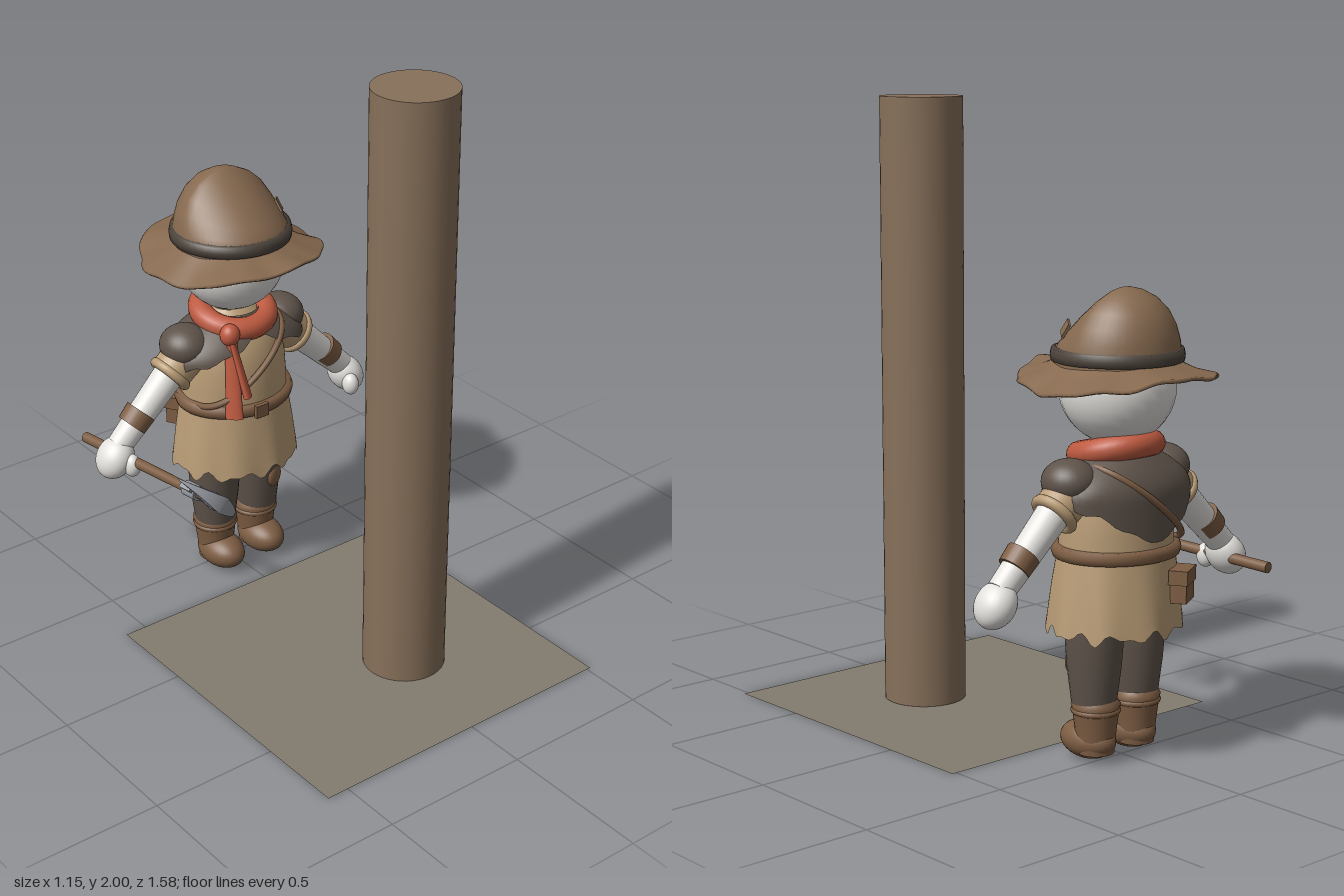
import * as THREE from 'three';
import { mergeVertices } from 'three/addons/utils/BufferGeometryUtils.js';

const mat = (name, color, side = THREE.FrontSide) => {
  const m = new THREE.MeshStandardMaterial({ color, side });
  m.name = name;
  return m;
};

export function createModel() {
  const ground = mat('ground grey', 0x837b6f, THREE.DoubleSide);
  const wood = mat('post wood', 0x87705a);
  const felt = mat('hat felt', 0x86694f, THREE.DoubleSide);
  const bandCloth = mat('hat band', 0x4c433b);
  const dark = mat('dark cloth', 0x5e534a, THREE.DoubleSide);
  const tan = mat('tan cloth', 0xb99c76, THREE.DoubleSide);
  const red = mat('scarf red', 0xbd5a40);
  const white = mat('plain white', 0xe2e0dc);
  const leather = mat('leather brown', 0x7d5d43);
  const metal = mat('steel', 0x989ba3);

  const root = new THREE.Group();
  const figure = new THREE.Group();
  figure.name = 'figure';
  figure.position.set(0.02, 0, -0.49);

  const V = (x, y, z) => new THREE.Vector3(x, y, z);
  const add = (parent, name, geo, material, x = 0, y = 0, z = 0) => {
    const m = new THREE.Mesh(geo, material);
    m.name = name;
    m.position.set(x, y, z);
    parent.add(m);
    return m;
  };
  // move every vertex by a rule, then smooth the result
  const deform = (geo, rule) => {
    geo.deleteAttribute('uv');
    geo.deleteAttribute('normal');
    const p = geo.attributes.position, v = V(0, 0, 0);
    for (let i = 0; i < p.count; i++) {
      rule(v.fromBufferAttribute(p, i));
      p.setXYZ(i, v.x, v.y, v.z);
    }
    const out = mergeVertices(geo, 1e-5);
    out.computeVertexNormals();
    return out;
  };
  const lathe = (pts, seg = 48) =>
    new THREE.LatheGeometry(pts.map(([r, y]) => new THREE.Vector2(r, y)), seg);
  const ball = (parent, name, material, x, y, z, sx, sy, sz) => {
    const m = add(parent, name, new THREE.SphereGeometry(1, 28, 20), material, x, y, z);
    m.scale.set(sx, sy, sz);
    return m;
  };
  const limb = (parent, name, material, a, b, ra, rb) => {
    const d = b.clone().sub(a);
    const m = add(parent, name, new THREE.CylinderGeometry(rb, ra, d.length(), 24), material);
    m.position.copy(a).addScaledVector(d, 0.5);
    m.quaternion.setFromUnitVectors(V(0, 1, 0), d.normalize());
    return m;
  };

  // ground and post
  add(root, 'ground', new THREE.PlaneGeometry(1.09, 1.09).rotateX(-Math.PI / 2), ground, -0.03, 0.001, 0.245);
  add(root, 'post', new THREE.CylinderGeometry(0.135, 0.135, 1.997, 40), wood, 0.07, 1.0015, 0.37);
  root.add(figure);

  // tunic body, and skirt with a ragged hem
  const depth = 0.88;
  add(figure, 'tunicBody', lathe([[0.188, 0.64], [0.187, 0.72], [0.182, 0.8], [0.17, 0.86],
    [0.145, 0.91], [0.11, 0.95], [0.07, 0.99]]).scale(1, 1, depth), tan);
  add(figure, 'tunicSkirt', deform(lathe([[0.222, 0.42], [0.218, 0.46], [0.207, 0.55], [0.19, 0.66]], 88), v => {
    const a = Math.atan2(v.x, v.z);
    if (v.y < 0.43) v.y += 0.012 * Math.sin(a * 11) + 0.01 * Math.sin(a * 17);
    const fold = 1 + 0.02 * Math.sin(a * 9) * (0.66 - v.y) / 0.24;
    v.x *= fold;
    v.z *= fold * depth;
  }), tan);

  // belt, buckle and back pouch
  add(figure, 'belt', lathe([[0.18, 0.641], [0.205, 0.643], [0.211, 0.662], [0.205, 0.681], [0.18, 0.683]])
    .scale(1, 1, depth), leather);
  add(figure, 'buckle', new THREE.BoxGeometry(0.05, 0.045, 0.015), leather, -0.02, 0.662, 0.187);
  const pouch = new THREE.Group();
  pouch.name = 'pouch';
  pouch.position.set(-0.11, 0.555, -0.175);
  pouch.rotation.y = Math.PI + 0.52;
  add(pouch, 'pouchBody', new THREE.BoxGeometry(0.095, 0.085, 0.05), leather, 0, -0.005, 0);
  add(pouch, 'pouchFlap', new THREE.BoxGeometry(0.105, 0.045, 0.06), leather, 0, 0.032, 0);
  figure.add(pouch);

  // shoulder mantle: short in front, pointed at the back
  const hem = new THREE.SplineCurve([[0, 0.925], [0.6, 0.865], [1.2, 0.83], [1.6, 0.825],
    [2.3, 0.8], [2.8, 0.735], [3.1416, 0.705]].map(p => new THREE.Vector2(...p)));
  const rows = [];
  for (let i = 0; i <= 12; i++) rows.push([1, i / 12]);
  add(figure, 'mantle', deform(lathe(rows, 64), v => {
    const a = Math.atan2(v.x, v.z), u = Math.abs(a);
    let lo = 0, hi = 1;
    for (let i = 0; i < 14; i++) {
      const m = (lo + hi) / 2;
      if (hem.getPoint(m).x < u) lo = m; else hi = m;
    }
    const low = hem.getPoint(lo).y + 0.006 * Math.sin(u * 14);
    const y = low + (0.98 - low) * v.y;
    const s = Math.sin(Math.min(1, (0.98 - y) / 0.14) * Math.PI / 2);
    v.set(Math.sin(a) * (0.09 + 0.175 * s), y, Math.cos(a) * (0.09 + 0.087 * s));
  }), dark);

  // strap across the chest and back
  const loop = [];
  for (let i = 0; i < 24; i++) {
    const a = i / 24 * Math.PI * 2, s = Math.sin(a);
    loop.push(V(-0.02 + 0.165 * Math.cos(a), 0.805 + 0.13 * Math.cos(a),
      Math.sign(s) * Math.abs(s) ** 0.7 * 0.18));
  }
  add(figure, 'strap', new THREE.TubeGeometry(new THREE.CatmullRomCurve3(loop, true), 72, 0.011, 8, true), leather);

  // scarf with knot and two tails
  const scarf = add(figure, 'scarf', new THREE.TorusGeometry(0.112, 0.04, 16, 40).rotateX(Math.PI / 2), red, 0, 0.965, 0.005);
  scarf.rotation.x = 0.24;
  ball(figure, 'scarfKnot', red, -0.1, 0.945, 0.125, 0.034, 0.038, 0.034);
  const tail = (end, w) => {
    const m = limb(figure, 'scarfTail', red, V(-0.1, 0.94, 0.13), end, 0.02, w);
    m.scale.z = 0.5;
  };
  tail(V(-0.118, 0.655, 0.168), 0.031);
  tail(V(-0.075, 0.73, 0.185), 0.028);

  // arms and legs, mirrored
  for (const s of [-1, 1]) {
    const P = (x, y, z = 0) => V(s * x, y, z);
    limb(figure, 'sleeve', tan, P(0.14, 0.9), P(0.265, 0.795), 0.075, 0.07);
    const roll = add(figure, 'sleeveRoll', new THREE.TorusGeometry(0.062, 0.017, 10, 32), tan);
    roll.position.copy(P(0.257, 0.8));
    roll.quaternion.setFromUnitVectors(V(0, 0, 1), P(0.125, -0.105).normalize());
    ball(figure, 'shoulderCap', dark, s * 0.195, 0.89, 0, 0.085, 0.07, 0.088);
    limb(figure, 'arm', white, P(0.2, 0.86), P(0.47, 0.6), 0.056, 0.043);
    limb(figure, 'wristCuff', leather, P(0.378, 0.699), P(0.418, 0.659), 0.054, 0.051);
    const hand = ball(figure, 'hand', white, s * 0.488, 0.563, 0, 0.058, 0.075, 0.068);
    hand.rotation.z = s * 0.6;
    ball(figure, 'thumb', white, s * 0.462, 0.55, 0.062, 0.028, 0.04, 0.032);

    add(figure, 'trouserLeg', lathe([[0.066, 0.16], [0.074, 0.22], [0.084, 0.3], [0.09, 0.38], [0.094, 0.48]], 28),
      dark, s * 0.089, 0, 0);
    add(figure, 'bootShaft', lathe([[0.058, 0.03], [0.064, 0.1], [0.073, 0.17], [0.077, 0.185], [0.066, 0.2]], 28),
      leather, s * 0.086, 0, -0.005);
    add(figure, 'bootCuff', new THREE.TorusGeometry(0.068, 0.01, 8, 28).rotateX(Math.PI / 2), leather, s * 0.086, 0.165, -0.005);
    ball(figure, 'bootFoot', leather, s * 0.086, 0.065, 0.028, 0.07, 0.06, 0.102);
  }
  const knee = ball(figure, 'kneePatch', leather, 0.115, 0.31, 0.072, 0.038, 0.042, 0.016);
  knee.rotation.y = 0.4;

  // head
  ball(figure, 'head', white, 0, 1.16, 0, 0.18, 0.18, 0.18);

  // hat: drooping wavy brim, leaning crown, band and patch
  add(figure, 'hatBrim', deform(lathe([[0.17, 1.222], [0.235, 1.198], [0.298, 1.182], [0.303, 1.188],
    [0.298, 1.194], [0.235, 1.212], [0.17, 1.245]], 96), v => {
    const a = Math.atan2(v.x, v.z), t = Math.max(0, (Math.hypot(v.x, v.z) - 0.17) / 0.13);
    const k = 1 + t * (0.014 * Math.sin(a * 13) + 0.012 * Math.sin(a * 7 + 1));
    v.x *= k;
    v.z *= k;
    v.y += t * (0.023 * Math.cos(2 * a) + 0.005 * Math.sin(a * 7) + 0.003 * Math.sin(a * 12));
  }), felt);
  add(figure, 'hatCrown', deform(lathe([[0.195, 1.225], [0.193, 1.26], [0.185, 1.3], [0.168, 1.345], [0.14, 1.39],
    [0.1, 1.428], [0.055, 1.451], [0.02, 1.459], [0, 1.46]], 48), v => {
    const t = Math.max(0, (v.y - 1.27) / 0.19), front = Math.max(0, v.z / 0.19);
    v.x *= 1 - 0.5 * t * front;
    v.y -= 0.09 * t * front;
    v.z -= 0.03 * t;
  }), felt);
  add(figure, 'hatBand', lathe([[0.19, 1.236], [0.202, 1.238], [0.204, 1.256], [0.2, 1.275], [0.186, 1.278]]), bandCloth);
  const patch = add(figure, 'hatPatch', new THREE.BoxGeometry(0.055, 0.045, 0.008), felt, 0.137, 1.335, 0.083);
  patch.quaternion.setFromUnitVectors(V(0, 0, 1), V(0.75, 0.45, 0.48).normalize());

  // pickaxe with axe blade, held in the right hand
  const tool = new THREE.Group();
  tool.name = 'tool';
  const butt = V(-0.46, 0.55, -0.68), tip = V(-0.39, 0.585, 0.0);
  const zAxis = tip.clone().sub(butt).normalize();
  const xAxis = V(1, -1, 0).addScaledVector(zAxis, -V(1, -1, 0).dot(zAxis)).normalize();
  tool.quaternion.setFromRotationMatrix(
    new THREE.Matrix4().makeBasis(xAxis, zAxis.clone().cross(xAxis), zAxis));
  tool.position.copy(tip);
  root.add(tool);
  limb(tool, 'toolHandle', leather, V(0, 0, -0.685), V(0, 0, -0.005), 0.018, 0.016);
  const plate = (shape, thick) => new THREE.ExtrudeGeometry(shape,
    { depth: thick, bevelEnabled: false, curveSegments: 16 })
    .translate(0, 0, -thick / 2).rotateX(Math.PI / 2);

  const pick = new THREE.Shape();
  pick.moveTo(-0.158, -0.068);
  pick.quadraticCurveTo(-0.08, 0.008, 0, 0.012);
  pick.quadraticCurveTo(0.08, 0.008, 0.158, -0.068);
  pick.quadraticCurveTo(0.08, -0.022, 0, -0.032);
  pick.quadraticCurveTo(-0.08, -0.022, -0.158, -0.068);
  const pickGeo = plate(pick, 0.055).toNonIndexed ? plate(pick, 0.055) : null;
  const pp = pickGeo.attributes.position;
  for (let i = 0; i < pp.count; i++) pp.setY(i, pp.getY(i) * (1.05 - Math.abs(pp.getX(i)) / 0.16));
  pickGeo.computeVertexNormals();
  add(tool, 'pickHead', pickGeo, metal);

  const blade = new THREE.Shape();
  blade.moveTo(-0.04, -0.11);
  blade.lineTo(-0.04, -0.16);
  blade.lineTo(0.03, -0.155);
  blade.quadraticCurveTo(0.07, -0.17, 0.1, -0.212);
  blade.quadraticCurveTo(0.13, -0.14, 0.1, -0.068);
  blade.quadraticCurveTo(0.07, -0.105, 0.03, -0.115);
  add(tool, 'axeBlade', plate(blade, 0.022), metal);
  limb(tool, 'axeSocket', metal, V(0, 0, -0.165), V(0, 0, -0.105), 0.025, 0.025);

  return root;
}
